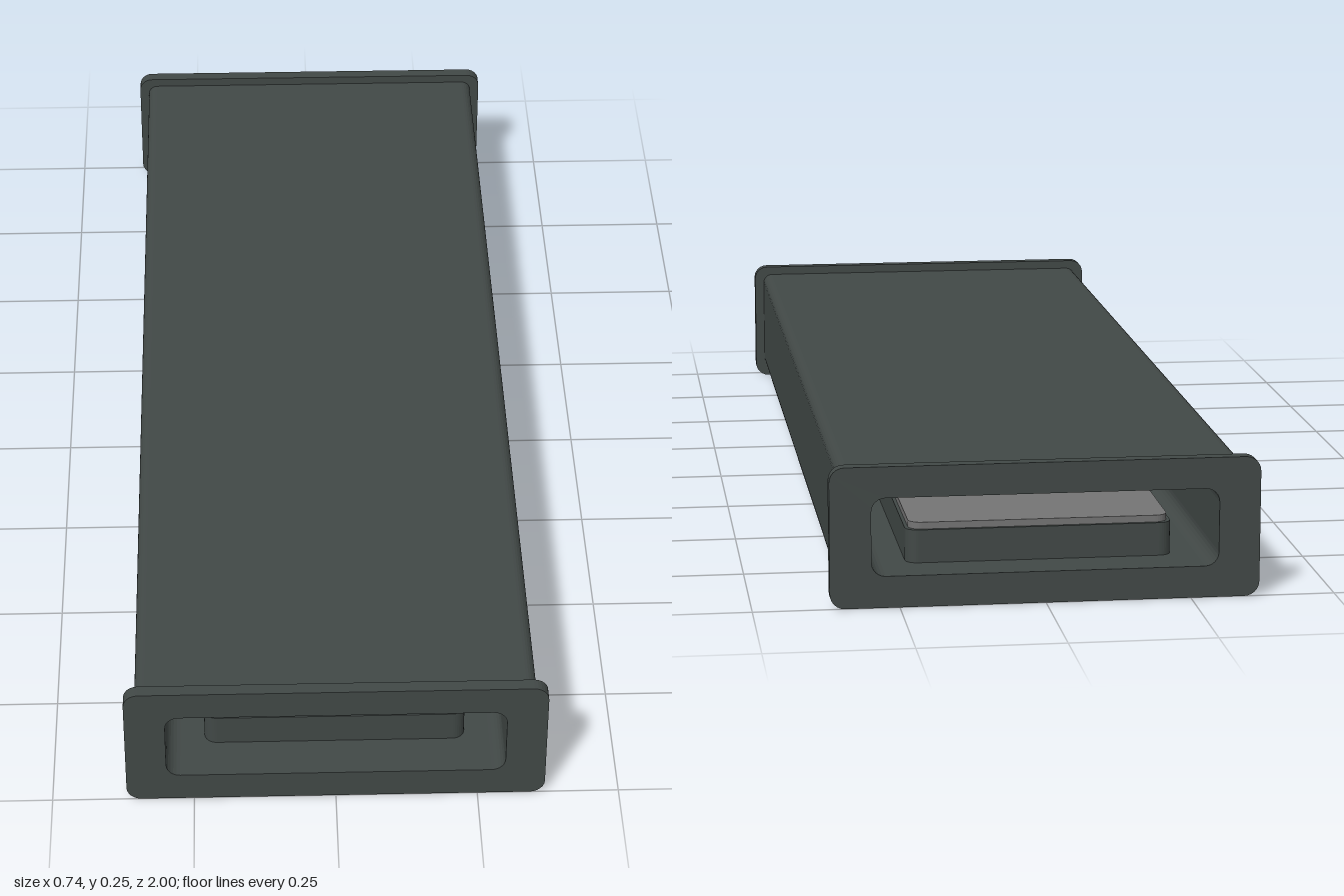
import * as THREE from 'three';

// Rounded rectangle traced onto a Shape or Path, centred on (0, cy)
function roundedRect(path, w, h, r, cy = 0) {
  const x = w / 2, y0 = cy - h / 2, y1 = cy + h / 2;
  path.moveTo(-x + r, y0);
  path.lineTo(x - r, y0);
  path.absarc(x - r, y0 + r, r, -Math.PI / 2, 0, false);
  path.lineTo(x, y1 - r);
  path.absarc(x - r, y1 - r, r, 0, Math.PI / 2, false);
  path.lineTo(-x + r, y1);
  path.absarc(-x + r, y1 - r, r, Math.PI / 2, Math.PI, false);
  path.lineTo(-x, y0 + r);
  path.absarc(-x + r, y0 + r, r, Math.PI, Math.PI * 1.5, false);
  return path;
}

export function createModel() {
  const group = new THREE.Group();
  const dark = new THREE.MeshStandardMaterial({ color: 0x414846 });
  dark.name = 'dark slate';
  const grey = new THREE.MeshStandardMaterial({ color: 0x747474 });
  grey.name = 'mid grey';

  function add(name, geometry, material) {
    const mesh = new THREE.Mesh(geometry, material);
    mesh.name = name;
    group.add(mesh);
    return mesh;
  }

  // Hollow length of duct running along z
  function ductSection(name, w, h, cy, r, z0, z1) {
    const shape = roundedRect(new THREE.Shape(), w, h, r, cy);
    shape.holes.push(roundedRect(new THREE.Path(), 0.596, 0.136, 0.024, 0.123));
    const geometry = new THREE.ExtrudeGeometry(shape, {
      depth: z1 - z0, bevelEnabled: false, curveSegments: 3,
    });
    geometry.translate(0, 0, z0);
    add(name, geometry, dark);
  }

  // Upright block with rounded corners in plan
  function block(name, w, length, r, y0, y1, z, material, hole) {
    const shape = roundedRect(new THREE.Shape(), w, length, r);
    if (hole) shape.holes.push(roundedRect(new THREE.Path(), w - hole, length - hole, r));
    const geometry = new THREE.ExtrudeGeometry(shape, {
      depth: y1 - y0, bevelEnabled: false, curveSegments: 4,
    });
    geometry.rotateX(-Math.PI / 2);
    add(name, geometry, material).position.set(0, y0, z);
  }

  // Main duct with a flange at each end
  ductSection('ductBody', 0.7, 0.206, 0.125, 0.018, -0.976, 0.976);
  ductSection('frontFlange', 0.738, 0.245, 0.1225, 0.026, 0.976, 1);
  ductSection('backFlange', 0.738, 0.245, 0.1225, 0.026, -1, -0.976);

  // Two inserts passing through the floor of the duct
  for (const [side, z] of [['front', 0.588], ['back', -0.588]]) {
    block(side + 'InsertSleeve', 0.462, 0.66, 0.022, 0.016, 0.113, z, dark);
    block(side + 'InsertTop', 0.45, 0.648, 0.022, 0.113, 0.125, z, grey);
    block(side + 'InsertBottomRim', 0.45, 0.648, 0.022, 0.01, 0.016, z, grey, 0.07);
  }
  return group;
}
